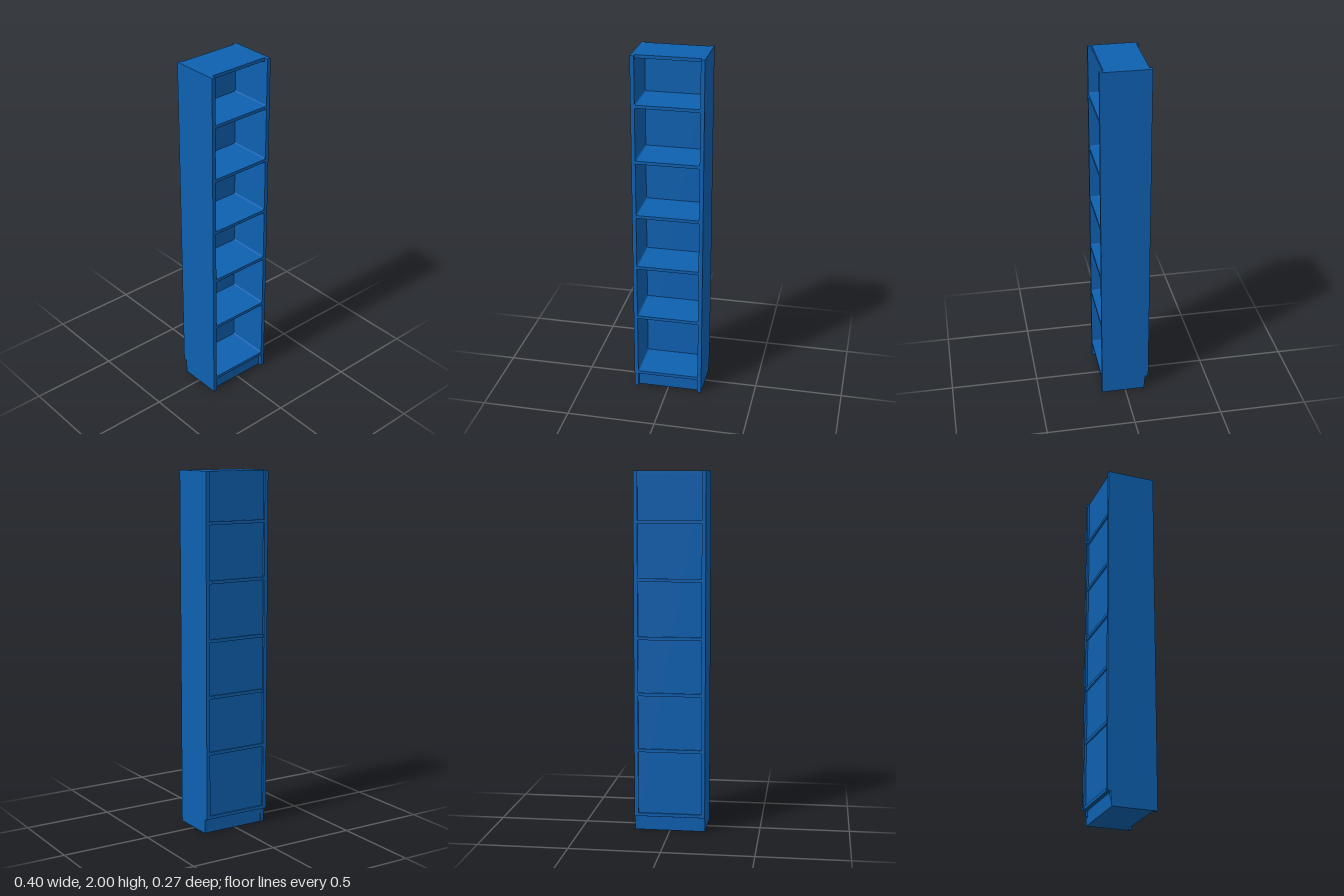
import * as THREE from 'three';

export function createModel() {
  const group = new THREE.Group();
  group.name = 'bookcase';
  const blue = new THREE.MeshStandardMaterial({ color: 0x0e60b0 });
  blue.name = 'blue paint';

  const add = (name, geometry) => {
    const mesh = new THREE.Mesh(geometry, blue);
    mesh.name = name;
    group.add(mesh);
    return mesh;
  };
  // Box given by its limits on each axis
  const board = (name, [x0, x1], [y0, y1], [z0, z1]) => {
    const mesh = add(name, new THREE.BoxGeometry(x1 - x0, y1 - y0, z1 - z0));
    mesh.position.set((x0 + x1) / 2, (y0 + y1) / 2, (z0 + z1) / 2);
  };

  const W = 0.198, D = 0.137, T = 0.022;
  const inner = [-W + T, W - T];

  // Side panels, notched at the lower back to clear a skirting board
  const outline = new THREE.Shape([
    [-D, 0], [0.113, 0], [0.118, 0.08], [D, 0.084], [D, 2], [-D, 2],
  ].map(([z, y]) => new THREE.Vector2(z, y)));
  for (const [name, x] of [['rightSide', -W], ['leftSide', W - T]]) {
    const geometry = new THREE.ExtrudeGeometry(outline, { depth: T, bevelEnabled: false });
    geometry.rotateY(Math.PI / 2); // shape x becomes -z
    add(name, geometry).position.x = x;
  }

  // Top board, set back from the front, and the thin back panel
  board('topBoard', inner, [1.982, 2], [-0.125, 0.113]);
  board('backPanel', inner, [0.08, 1.985], [-0.125, -0.112]);

  // Shelves flush with the front of the sides
  for (const y of [0.092, 0.46, 0.777, 1.09, 1.41, 1.725]) {
    board('shelf', inner, [y - 0.009, y + 0.009], [-0.134, D]);
  }

  // Closed plinth under the lowest shelf, with a recessed toe kick
  board('plinth', inner, [0, 0.084], [-0.113, 0.115]);

  // Small fillets in the corners of each opening
  const r = 0.009;
  const fillet = new THREE.Shape();
  fillet.moveTo(0, 0);
  fillet.lineTo(r, 0);
  fillet.absarc(r, r, r, -Math.PI / 2, -Math.PI, true);
  fillet.lineTo(0, 0);
  const filletGeometry = new THREE.ExtrudeGeometry(fillet, { depth: 0.245, bevelEnabled: false, curveSegments: 4 });
  const openings = [[0.101, 0.451], [0.469, 0.768], [0.786, 1.081], [1.099, 1.401], [1.419, 1.716], [1.734, 1.982]];
  for (const [low, high] of openings) {
    [[inner[0], low, 0], [inner[1], low, 1], [inner[1], high, 2], [inner[0], high, 3]].forEach(([x, y, turn]) => {
      const mesh = add('cornerFillet', filletGeometry);
      mesh.position.set(x, y, -0.112);
      mesh.rotation.z = turn * Math.PI / 2;
      if (high > 1.9 && turn > 1) mesh.scale.z = 0.92; // stops at the set-back top
    });
  }
  return group;
}
